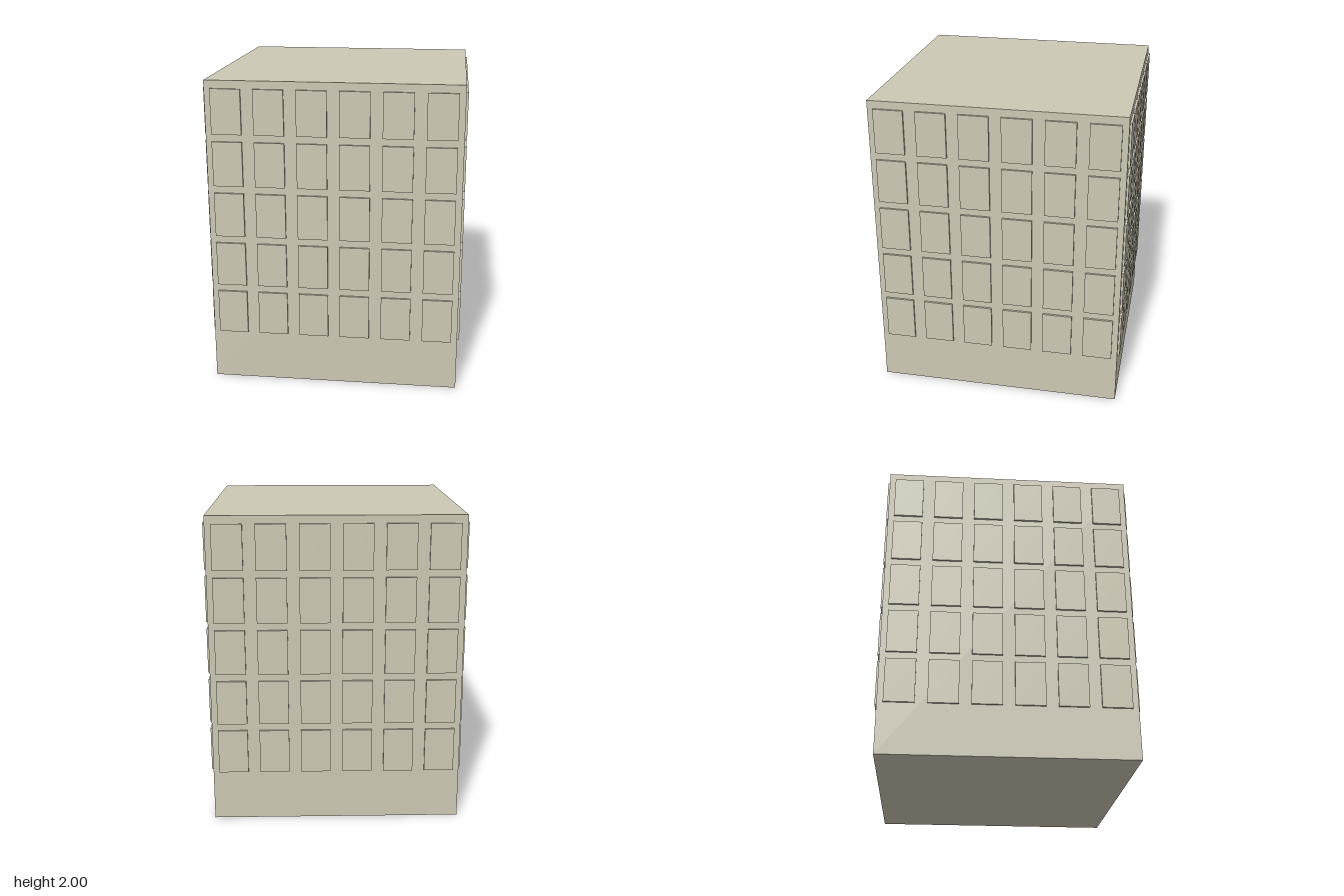
import * as THREE from 'three';

export function createModel() {
  const group = new THREE.Group();
  const material = new THREE.MeshStandardMaterial({ color: 0xccc8b4 });

  const size = 1.6, height = 2;
  const columns = 6, rows = 5;
  const columnStep = size / columns, floorHeight = height / (rows + 1);

  // Main block of the building
  const block = new THREE.Mesh(new THREE.BoxGeometry(size, height, size), material);
  block.name = 'buildingBlock';
  block.position.y = height / 2;
  group.add(block);

  // Shallow raised window panels, the same grid on all four walls
  const panelGeometry = new THREE.BoxGeometry(0.19, 0.287, 0.027);
  ['front', 'left', 'back', 'right'].forEach((side, i) => {
    const wall = new THREE.Group();
    wall.name = side + 'Windows';
    wall.rotation.y = i * Math.PI / 2;
    for (let row = 0; row < rows; row++) {
      for (let column = 0; column < columns; column++) {
        const panel = new THREE.Mesh(panelGeometry, material);
        panel.name = 'windowPanel';
        panel.position.set(
          (column - (columns - 1) / 2) * columnStep,
          0.473 + row * floorHeight,
          size / 2
        );
        wall.add(panel);
      }
    }
    group.add(wall);
  });

  return group;
}
